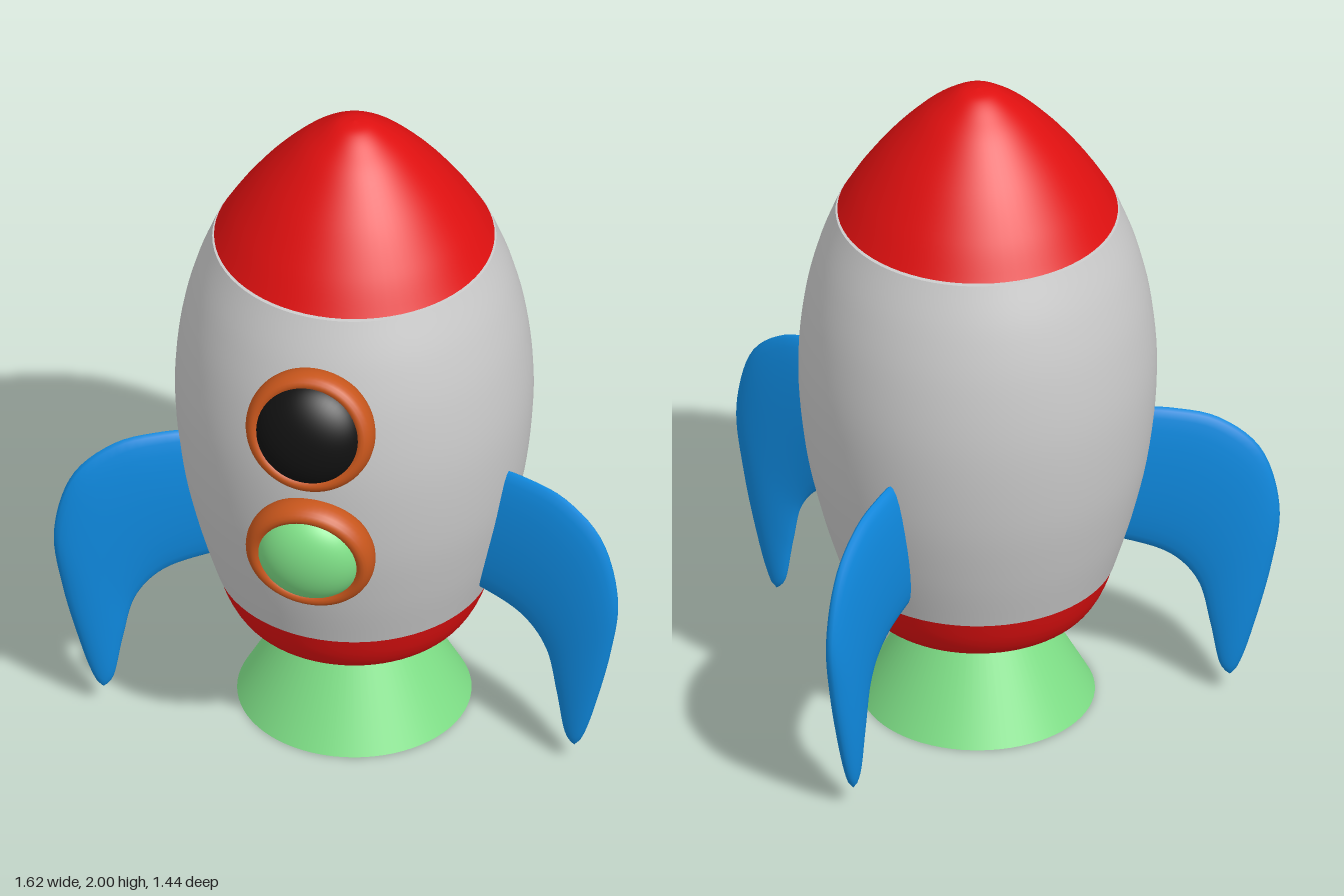
import * as THREE from 'three';

const material = (color, side = THREE.FrontSide) => new THREE.MeshStandardMaterial({ color, side });
const RED = 0xe01010, BLUE = 0x0f8ae0, GREEN = 0x7fe087, ORANGE = 0xc8561c, BLACK = 0x111111;
const AXIS_Z = 0.11; // the hull axis sits forward of the origin

const vectors = (pairs) => pairs.map(([x, y]) => new THREE.Vector2(x, y));
const smooth = (pairs, n) => new THREE.SplineCurve(vectors(pairs)).getPoints(n);

function addMesh(parent, name, geometry, mat) {
  const mesh = new THREE.Mesh(geometry, mat);
  mesh.name = name;
  parent.add(mesh);
  return mesh;
}

// Curved blade: elliptical sections spanning an outer and an inner edge, root to tip
function finGeometry() {
  const outer = new THREE.SplineCurve(vectors([[0.45, 0.945], [0.54, 0.945], [0.68, 0.915], [0.8, 0.81],
    [0.85, 0.62], [0.825, 0.42], [0.77, 0.2], [0.735, 0.095], [0.71, 0.06]]));
  const inner = new THREE.SplineCurve(vectors([[0.34, 0.51], [0.41, 0.505], [0.54, 0.46], [0.62, 0.37],
    [0.655, 0.23], [0.68, 0.1], [0.71, 0.06]]));
  const N = 40, M = 24, positions = [], index = [];
  for (let i = 0; i <= N; i++) {
    const t = i / N, o = outer.getPointAt(t), n = inner.getPointAt(t);
    const half = 0.036 * Math.sqrt(1 - t ** 4);
    for (let j = 0; j < M; j++) {
      const a = (j / M) * Math.PI * 2, c = Math.cos(a) / 2;
      positions.push((o.x + n.x) / 2 + (o.x - n.x) * c, (o.y + n.y) / 2 + (o.y - n.y) * c, half * Math.sin(a));
      if (i < N) {
        const p = i * M + j, q = i * M + ((j + 1) % M);
        index.push(p, q, p + M, q, q + M, p + M);
      }
    }
  }
  const geometry = new THREE.BufferGeometry();
  geometry.setAttribute('position', new THREE.Float32BufferAttribute(positions, 3));
  geometry.setIndex(index);
  geometry.computeVertexNormals();
  return geometry;
}

// Round window: a fat rim with a bulging pane, facing +z before tilting
function porthole(name, paneColor, paneRadius, y, z, tilt) {
  const group = new THREE.Group();
  group.name = name;
  const rim = addMesh(group, name + 'Rim', new THREE.TorusGeometry(0.158, 0.028, 20, 64), material(ORANGE));
  rim.scale.z = 1.7;
  const pane = addMesh(group, name + 'Pane',
    new THREE.SphereGeometry(paneRadius, 48, 24, 0, Math.PI * 2, 0, Math.PI / 2).rotateX(Math.PI / 2),
    material(paneColor));
  pane.scale.z = 0.098 / paneRadius;
  pane.position.z = 0.005;
  group.position.set(-0.033, y, z);
  group.rotation.set(tilt, -0.06, 0);
  return group;
}

export function createModel() {
  const model = new THREE.Group();
  model.name = 'rocket';

  // Turned parts share the hull axis
  const hull = new THREE.Group();
  hull.name = 'hull';
  hull.position.z = AXIS_Z;
  model.add(hull);
  const turned = (name, points, mat) => addMesh(hull, name, new THREE.LatheGeometry(points, 72), mat);

  turned('body', smooth([[0.39, 0.452], [0.44, 0.62], [0.485, 0.83], [0.505, 1.07], [0.49, 1.28],
    [0.452, 1.45], [0.4, 1.592]], 32), material(0xcccccc));
  turned('bodyTopEdge', vectors([[0.4, 1.592], [0.36, 1.594]]), material(0xcccccc));
  turned('noseCone', smooth([[0.395, 1.598], [0.34, 1.69], [0.26, 1.8], [0.17, 1.9], [0.105, 1.955],
    [0.05, 1.99], [0, 2]], 36), material(RED));
  turned('noseUnderside', vectors([[0.34, 1.597], [0.395, 1.598]]), material(RED));

  // Base skirt with a rounded lip and a recess for the nozzle
  turned('skirt', smooth([[0.235, 0.44], [0.235, 0.35], [0.245, 0.313], [0.275, 0.3], [0.308, 0.309],
    [0.337, 0.335], [0.365, 0.385], [0.39, 0.456]], 40), material(RED));
  turned('skirtRecess', vectors([[0, 0.44], [0.235, 0.44]]), material(RED));

  turned('nozzle', vectors([[0.33, 0], [0.09, 0.44]]), material(GREEN, THREE.DoubleSide));

  // Three fins around the hull
  const fin = finGeometry();
  [['leftFin', 19], ['rightFin', 163.5], ['backFin', -78.7]].forEach(([name, degrees]) => {
    addMesh(hull, name, fin, material(BLUE)).rotation.y = -THREE.MathUtils.degToRad(degrees);
  });

  model.add(porthole('upperPorthole', BLACK, 0.16, 1.28, 0.614, -0.2));
  model.add(porthole('lowerPorthole', GREEN, 0.152, 0.85, 0.613, 0.13));
  return model;
}
